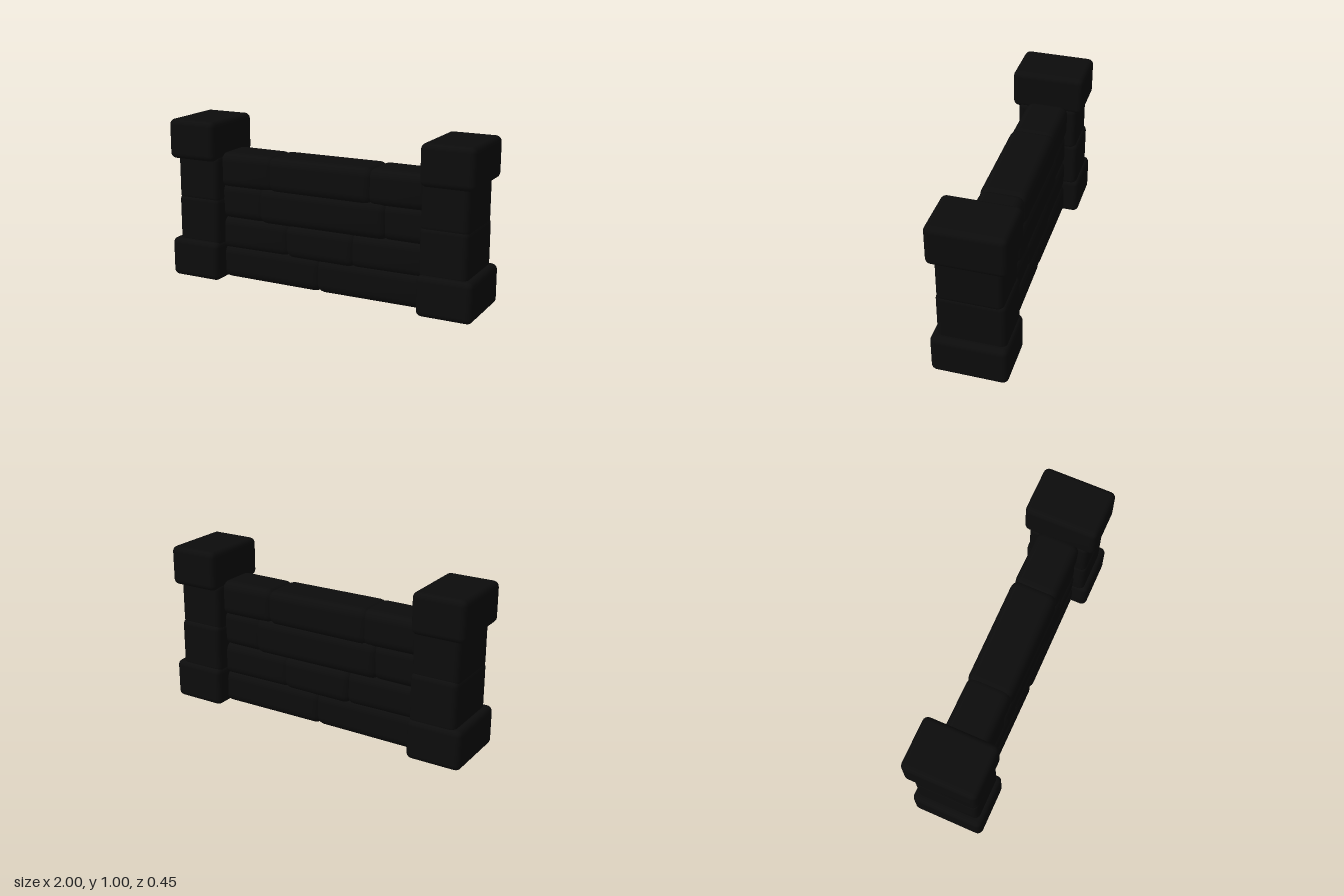
import * as THREE from 'three';
import { RoundedBoxGeometry } from 'three/addons/geometries/RoundedBoxGeometry.js';
import { mergeVertices } from 'three/addons/utils/BufferGeometryUtils.js';

const material = new THREE.MeshStandardMaterial({ color: 0x0c0c0c });

// Soft-edged stone between two corners; endTaper narrows its depth towards both x ends,
// wobble slightly skews it so that stones are not identical.
function stone(name, [x0, x1], [y0, y1], [z0, z1], radius, endTaper = 0, wobble = 0) {
  const w = x1 - x0, h = y1 - y0, d = z1 - z0;
  let geo = new RoundedBoxGeometry(w, h, d, 3, radius);
  geo.deleteAttribute('normal');
  geo.deleteAttribute('uv');
  geo.clearGroups();
  geo = mergeVertices(geo, 1e-5);
  const p = geo.attributes.position;
  for (let i = 0; i < p.count; i++) {
    const u = (2 * p.getX(i)) / w, v = (2 * p.getY(i)) / h;
    p.setZ(i, p.getZ(i) * (1 - endTaper * Math.abs(u)) + wobble * u * v);
  }
  geo.computeVertexNormals();
  const mesh = new THREE.Mesh(geo, material);
  mesh.name = name;
  mesh.position.set((x0 + x1) / 2, (y0 + y1) / 2, (z0 + z1) / 2);
  return mesh;
}

export function createModel() {
  const model = new THREE.Group();
  model.name = 'stoneWall';

  // Pillars: wide base, two narrower blocks, wide cap
  for (const side of [-1, 1]) {
    const pillar = new THREE.Group();
    pillar.name = side > 0 ? 'leftPillar' : 'rightPillar';
    const span = (a, b) => (side > 0 ? [a, b] : [-b, -a]);
    pillar.add(
      stone('pillarBase', span(0.66, 1), [0, 0.245], [-0.222, 0.226], 0.035),
      stone('pillarLowerBlock', span(0.665, 0.957), [0.215, 0.525], [-0.204, 0.196], 0.035),
      stone('pillarUpperBlock', span(0.667, 0.957), [0.49, 0.785], [-0.19, 0.191], 0.035),
      stone('pillarCap', span(0.67, 0.995), [0.755, 1], [-0.224, 0.227], 0.035),
    );
    model.add(pillar);
  }

  // Wall courses: heights, then the x span and half depth of each stone
  const courses = [
    { y: [0.003, 0.215], stones: [[-0.7, 0.01, 0.134], [-0.03, 0.7, 0.136]] },
    { y: [0.19, 0.4], stones: [[-0.7, -0.2, 0.13], [-0.24, 0.24, 0.14], [0.19, 0.7, 0.132]] },
    { y: [0.385, 0.61], stones: [[-0.7, -0.37, 0.128], [-0.42, 0.44, 0.143], [0.39, 0.7, 0.128]] },
    { y: [0.585, 0.803], stones: [[-0.7, -0.3, 0.138], [-0.355, 0.345, 0.145], [0.305, 0.7, 0.138]] },
  ];
  const wall = new THREE.Group();
  wall.name = 'wall';
  courses.forEach(({ y, stones }, row) => {
    stones.forEach(([x0, x1, depth], i) => {
      const wobble = 0.003 * ((row + i) % 2 ? 1 : -1);
      wall.add(stone('wallStone', [x0, x1], y, [-depth, depth], 0.055, 0.03, wobble));
    });
  });
  model.add(wall);
  return model;
}
